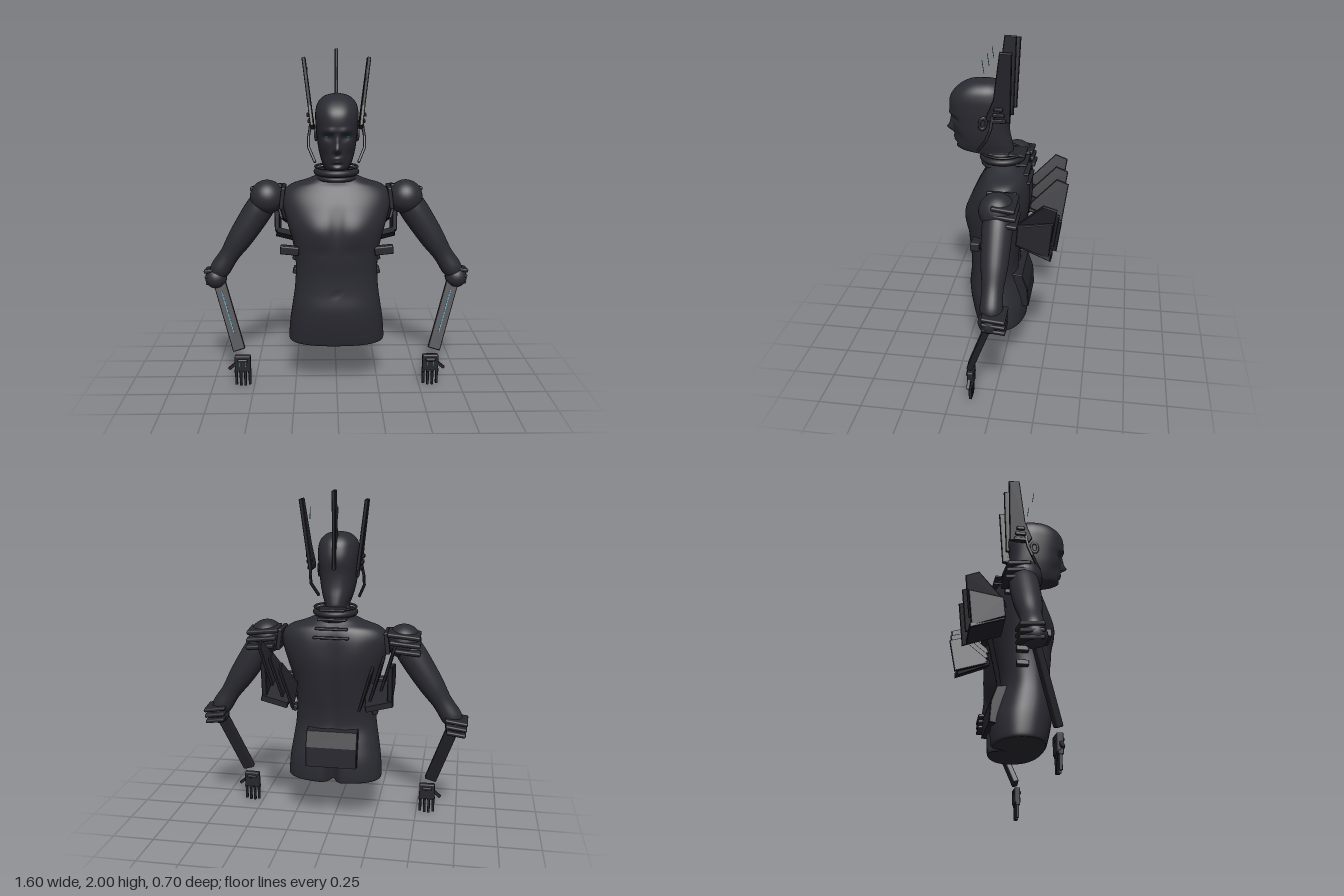
import * as THREE from 'three';
import { RoundedBoxGeometry } from 'three/addons/geometries/RoundedBoxGeometry.js';

const mat = (name, color) => Object.assign(new THREE.MeshStandardMaterial({ color }), { name });
const V = (x, y, z) => new THREE.Vector3(x, y, z);
const UP = V(0, 1, 0);

// Smooth interpolation of rows [y, halfWidth, zFront, zBack] at row position t
function sampleRows(rows, t) {
  const i = Math.min(Math.floor(t), rows.length - 2), f = t - i;
  const at = k => rows[Math.max(0, Math.min(rows.length - 1, k))];
  return rows[0].map((_, c) => {
    const [a, b, d, e] = [at(i - 1)[c], at(i)[c], at(i + 1)[c], at(i + 2)[c]];
    return b + 0.5 * f * (d - a + f * (2 * a - 5 * b + 4 * d - e + f * (3 * (b - d) + e - a)));
  });
}

// Closed body made of horizontal super-ellipse sections, shaped by an offset rule for z
function loft(rows, e, segs, steps, offset) {
  const pos = [], idx = [], last = rows.length - 1;
  const list = [];
  for (let i = 0; i <= last * steps; i++) list.push([sampleRows(rows, i / steps), 1]);
  const a = list[0], b = list[list.length - 1];
  list.unshift([a[0], 0.001], [a[0], 1]);
  list.push([b[0], 1], [b[0], 0.001]);
  const pw = v => Math.sign(v) * Math.abs(v) ** e;
  for (const [[y, w, zf, zb], k] of list) {
    for (let j = 0; j < segs; j++) {
      const t = j / segs * Math.PI * 2;
      const x = w * pw(Math.cos(t)) * k, s = Math.sin(t);
      const z = (zf + zb) / 2 + (zf - zb) / 2 * pw(s) * k;
      pos.push(x, y, z + offset(x, y, s) * k);
    }
  }
  for (let i = 0; i < list.length - 1; i++) for (let j = 0; j < segs; j++) {
    const p = i * segs + j, q = i * segs + (j + 1) % segs;
    idx.push(p, p + segs, q, q, p + segs, q + segs);
  }
  const g = new THREE.BufferGeometry();
  g.setAttribute('position', new THREE.Float32BufferAttribute(pos, 3));
  g.setIndex(idx);
  g.computeVertexNormals();
  return g;
}

// Flat plate from a [z, y] outline, centred on x = 0
function plate(points, thick) {
  const shape = new THREE.Shape(points.map(p => new THREE.Vector2(...p)));
  const b = Math.min(0.004, thick / 4);
  return new THREE.ExtrudeGeometry(shape, {
    depth: thick - 2 * b, bevelEnabled: true, bevelSize: b, bevelThickness: b, bevelSegments: 1,
  }).translate(0, 0, b - thick / 2).rotateY(-Math.PI / 2);
}

const gauss = (x, y, cx, cy, sx, sy) => Math.exp(-(((x - cx) / sx) ** 2) - ((y - cy) / sy) ** 2);

const HEAD = [
  [1.27, .085, .12, -.02], [1.325, .08, .14, -.03], [1.334, .072, .24, -.032], [1.35, .076, .285, -.033],
  [1.39, .09, .3, -.025], [1.45, .104, .308, -.012], [1.52, .113, .317, -.01], [1.6, .12, .333, -.02],
  [1.66, .12, .325, -.01], [1.71, .105, .285, .012], [1.745, .066, .225, .055], [1.76, .004, .14, .125],
];
const TORSO = [
  [.27, .28, .18, -.12], [.29, .288, .19, -.13], [.4, .28, .215, -.13], [.5, .265, .225, -.105],
  [.6, .25, .215, -.075], [.7, .243, .215, -.08], [.8, .245, .225, -.1], [.9, .262, .235, -.12],
  [1.0, .29, .23, -.135], [1.1, .315, .195, -.135], [1.17, .315, .16, -.13], [1.22, .27, .13, -.115],
  [1.25, .18, .12, -.09], [1.285, .1, .11, -.06],
];

// Facial relief: nose, eye sockets, brow, lips, chin
function face(x, y, s) {
  if (s < 0) return 0;
  const ax = Math.abs(x);
  return s * (.036 * gauss(x, y, 0, 1.462, .018, .022) + .02 * gauss(x, y, 0, 1.5, .013, .04)
    - .022 * gauss(ax, y, .052, 1.528, .028, .017) + .012 * gauss(ax, y, .045, 1.565, .04, .013)
    + .014 * gauss(x, y, 0, 1.413, .03, .008) + .012 * gauss(x, y, 0, 1.394, .026, .008)
    - .008 * gauss(x, y, 0, 1.375, .03, .008) + .01 * gauss(x, y, 0, 1.352, .03, .014)
    - .014 * gauss(ax, y, .07, 1.42, .025, .04));
}

// Chest, belly, spine groove and rear cleft
function trunk(x, y, s) {
  const ax = Math.abs(x);
  if (s > 0) return s * (.014 * gauss(ax, y, .12, .98, .09, .09) - .01 * gauss(x, y, 0, 1.0, .025, .14)
    - .005 * gauss(ax, y, .1, .86, .08, .035) - .006 * gauss(x, y, 0, .6, .012, .015));
  return -s * (.018 * gauss(x, y, 0, .85, .03, .3) + .08 * gauss(x, y, 0, .27, .025, .14)
    - .012 * gauss(ax, y, .15, 1.08, .08, .1));
}

export function createModel() {
  const root = new THREE.Group();
  root.name = 'androidBust';
  const body = mat('graphite skin', 0x2b2b33);
  const armor = mat('dark armour', 0x25252c);
  const glow = mat('cyan light', 0x2f9fc0);

  const add = (name, geo, m, p = [0, 0, 0], r = [0, 0, 0]) => {
    const mesh = new THREE.Mesh(geo, m);
    mesh.name = name;
    mesh.position.set(...p);
    mesh.rotation.set(...r);
    root.add(mesh);
    return mesh;
  };
  const rbox = (w, h, d, r = .008) => new RoundedBoxGeometry(w, h, d, 2, r);
  // Aligns a part's y axis with the line from a up to b, centred between them
  const along = (mesh, a, b) => {
    mesh.position.copy(a).add(b).multiplyScalar(.5);
    mesh.quaternion.setFromUnitVectors(UP, b.clone().sub(a).normalize());
    return mesh;
  };

  // Head, torso and neck
  add('head', loft(HEAD, .85, 112, 8, face), body);
  add('torso', loft(TORSO, .86, 80, 5, trunk), body);
  [[1.3, .108, .026], [1.265, .106, .018], [1.33, .122, .008]].forEach(([y, r, t]) =>
    add('neckRing', new THREE.TorusGeometry(r, t, 12, 40).rotateX(Math.PI / 2).scale(1, .8, 1), armor, [0, y, .03]));
  [1.33, 1.277, 1.225, 1.175].forEach((y, i) =>
    add('neckPlate', rbox(.15 + .02 * i, .014, .1, .006), armor, [0, y, -.06 - .012 * i]));

  // Lower back pack with slanted top and bottom
  add('backPack', plate([[-.04, .37], [-.145, .385], [-.137, .5], [-.105, .59], [-.04, .6]], .31), armor);

  // Crown fin profile in z and y
  const FIN = [[.1, 1.58], [.085, 1.555], [-.03, 1.555], [-.045, 1.995], [.015, 1.998], [.055, 1.7]];
  add('centreFin', plate(FIN, .02), armor);

  for (const s of [1, -1]) {
    const P = (x, y, z) => V(s * x, y, z);

    // Eyes and ears
    add('eye', new THREE.SphereGeometry(1, 16, 10).scale(.018, .007, .012), glow, [s * .056, 1.529, .277]);
    add('ear', new THREE.TorusGeometry(.02, .007, 8, 20).rotateY(Math.PI / 2).scale(1, 1.6, 1), body,
      [s * .117, 1.53, .125], [-.15, s * .25, 0]);

    // Side crown fin, its mount and jaw strap
    const fin = plate(FIN.map(([z, y]) => [z, (y - 1.555) * .9]), .022);
    add('sideFin', fin, armor, [s * .138, 1.555, 0], [0, 0, -s * .125]);
    for (let i = 0; i < 3; i++)
      add('finMount', rbox(.035, .022, .08 - .015 * i, .005), armor, [s * (.142 + .006 * i), 1.56 + .035 * i, .03]);
    const strap = [P(.125, 1.375, .15), P(.16, 1.45, .1), P(.16, 1.51, .075), P(.148, 1.58, .065)];
    for (let i = 0; i < 3; i++)
      along(add('jawStrap', rbox(.016, strap[i].distanceTo(strap[i + 1]) + .012, .018, .005), armor), strap[i], strap[i + 1]);

    // Shoulder ball and layered shoulder guard
    add('shoulderBall', new THREE.SphereGeometry(.102, 32, 20), body, [s * .41, 1.143, 0]);
    for (let i = 0; i < 3; i++)
      add('shoulderPlate', rbox(.19 - .012 * i, .024, .13), armor,
        [s * (.415 + .008 * i), 1.195 - .045 * i, -.045 - .006 * i], [-.12, 0, -s * .1]);
    add('shoulderCollar', rbox(.025, .13, .17), armor, [s * .318, 1.145, -.01], [0, 0, s * .12]);

    // Upper arm
    const a = P(.725, .665, -.012), b = P(.4, 1.16, -.008), len = a.distanceTo(b);
    const prof = [[.05, -.5], [.062, -.42], [.059, -.25], [.074, -.05], [.083, .2], [.083, .36], [.07, .5]]
      .map(([r, t]) => new THREE.Vector2(r, t * len));
    const arm = new THREE.LatheGeometry(new THREE.SplineCurve(prof).getPoints(30), 28);
    along(add('upperArm', arm, body), a, b);

    // Elbow with layered guard
    add('elbow', new THREE.SphereGeometry(.066, 24, 16), body, [s * .73, .643, -.01]);
    for (let i = 0; i < 3; i++)
      add('elbowPlate', rbox(.135 - .01 * i, .022, .13), armor, [s * .732, .692 - .036 * i, -.035], [-.1, 0, -s * .15]);

    // Forearm, wide across the front, with light strip
    const f0 = P(.585, .23, .132), f1 = P(.712, .625, -.005), fl = f0.distanceTo(f1);
    along(add('forearm', rbox(.074, fl, .036), armor), f0, f1);
    const strip = new THREE.BoxGeometry(.005, fl * .6, .004).translate(0, .02, .0185);
    along(add('forearmLight', strip, glow), f0, f1);

    // Hand: palm, lights, four fingers and thumb
    add('palm', rbox(.096, .1, .036), armor, [s * .567, .147, .132]);
    add('wristCap', rbox(.06, .02, .05), armor, [s * .567, .168, .134]);
    for (let i = 0; i < 4; i++) {
      const x = s * (.526 + .027 * i), tip = i % 3 ? .002 : .01;
      add('finger', rbox(.016, .11 - tip, .018, .004), armor, [x, (.11 + tip) / 2, .132]);
      add('knuckle', rbox(.02, .022, .028, .004), armor, [x, .098, .134]);
    }
    for (const x of [.55, .584])
      add('handLight', new THREE.BoxGeometry(.004, .03, .004), glow, [s * x, .145, .15]);
    along(add('thumb', rbox(.018, .062, .02, .004), armor), P(.65, .112, .136), P(.604, .15, .136));

    // Three swept blades behind each shoulder
    const blade = [[-.09, 1.0], [-.29, .925], [-.32, 1.155], [-.25, 1.18], [-.1, 1.03]].map(([z, y]) => [z, y - .94]);
    for (let i = 0; i < 3; i++)
      add('backBlade', plate(blade, .018), armor, [s * (.315 - .06 * i), .94 - .06 * i, -.01 * i], [0, 0, -s * .28]);
    // Outer panel and slanted foot closing the blade stack
    add('bladePanel', plate([[-.1, .92], [-.28, .85], [-.3, 1.06], [-.11, 1.03]], .03), armor, [s * .36, 0, 0]);
    const foot = [[-.1, .04], [-.29, -.035], [-.29, -.01], [-.1, .065]];
    add('bladeFoot', plate(foot, .16), armor, [s * .295, .85, 0], [0, 0, s * .25]);

    // Side trunk fittings
    add('ribBox', rbox(.11, .05, .055), armor, [s * .275, .855, .145], [0, 0, s * .1]);
    for (const y of [.785, .7])
      add('waistVent', rbox(.03, .035, .07, .006), armor, [s * .245, y, .02], [0, 0, s * .3]);
  }

  // Slim light filaments floating ahead of the crown fins
  for (const x of [-.165, 0, .165]) {
    const c = new THREE.CatmullRomCurve3([V(x, 1.9, .115), V(x, 1.87, .111), V(x, 1.83, .105)]);
    add('filament', new THREE.TubeGeometry(c, 6, .002, 5), glow);
  }
  return root;
}
